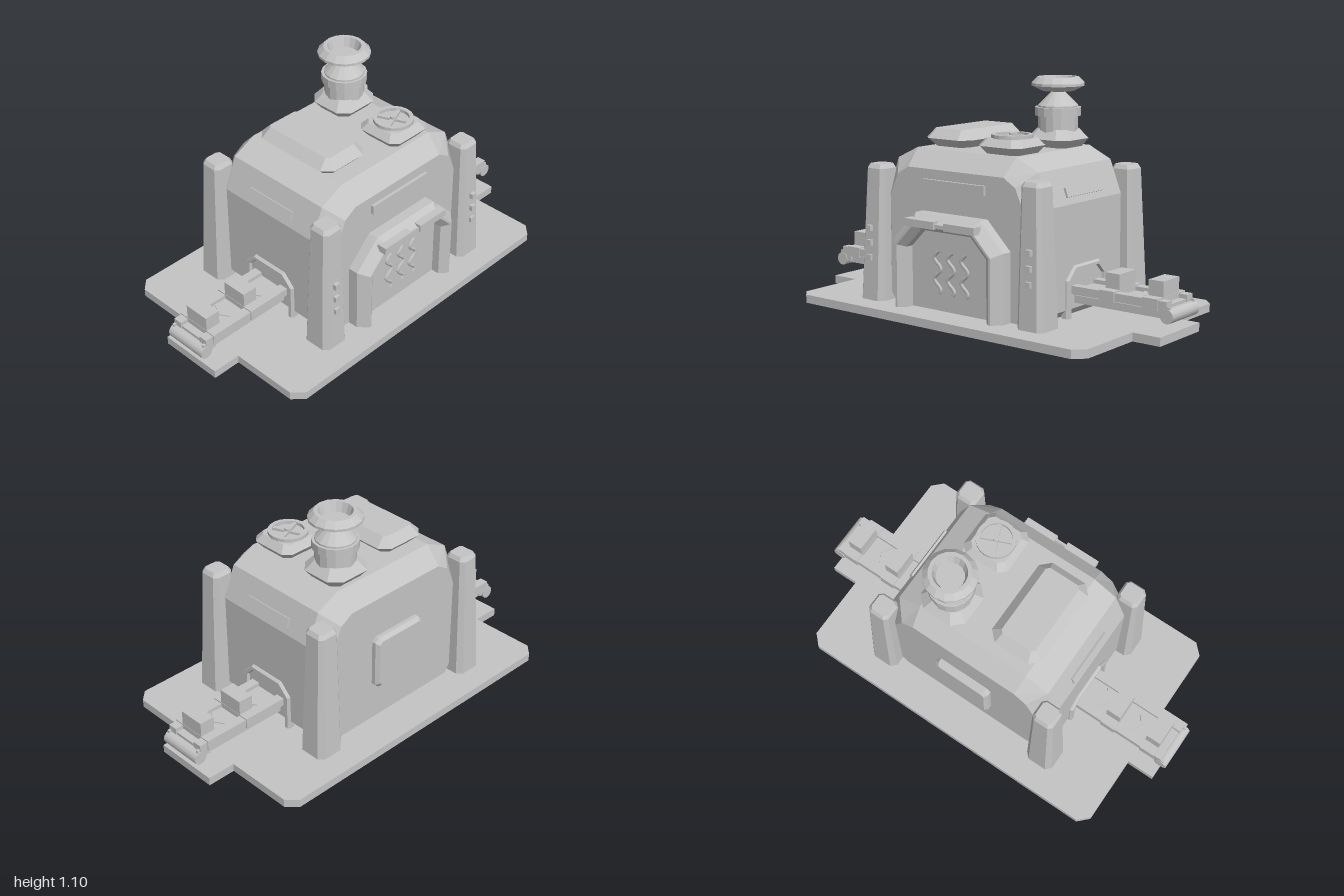
import * as THREE from 'three';

const grey = new THREE.MeshStandardMaterial({ color: 0xc4c4c4 });
grey.name = 'plain grey';

// Flat-shaded skin through 2D sections [points, z]; capped when closed
function loft(sections, closed = true) {
  const pos = [];
  const n = sections[0][0].length;
  const P = (i, j) => [...sections[i][0][j % n], sections[i][1]];
  const tri = (a, b, c) => pos.push(...a, ...b, ...c);
  for (let i = 0; i < sections.length - 1; i++) {
    for (let j = 0; j < (closed ? n : n - 1); j++) {
      tri(P(i, j), P(i, j + 1), P(i + 1, j + 1));
      tri(P(i, j), P(i + 1, j + 1), P(i + 1, j));
    }
  }
  if (closed) {
    const e = sections.length - 1;
    for (let j = 1; j < n - 1; j++) {
      tri(P(0, 0), P(0, j + 1), P(0, j));
      tri(P(e, 0), P(e, j), P(e, j + 1));
    }
  }
  const g = new THREE.BufferGeometry();
  g.setAttribute('position', new THREE.Float32BufferAttribute(pos, 3));
  g.computeVertexNormals();
  return g;
}

// Rectangle with cut corners
const oct = (w, h, c) => [
  [w, -h + c], [w, h - c], [w - c, h], [-w + c, h],
  [-w, h - c], [-w, -h + c], [-w + c, -h], [w - c, -h]];

// Arch with cut shoulders, open at the floor
const arch = (w, h, c) => [
  [w, 0.05], [w, h - c], [w - c, h], [-w + c, h], [-w, h - c], [-w, 0.05]];

const upright = (sections) => loft(sections).rotateX(-Math.PI / 2);

function add(parent, name, geo, x = 0, y = 0, z = 0) {
  const m = new THREE.Mesh(geo, grey);
  m.name = name;
  m.position.set(x, y, z);
  parent.add(m);
  return m;
}
const box = (w, h, d) => new THREE.BoxGeometry(w, h, d);

function lathe(points, sides) {
  const g = new THREE.LatheGeometry(points.map(p => new THREE.Vector2(...p)), sides).toNonIndexed();
  g.computeVertexNormals();
  return g;
}

// Conveyor running out along +x
function conveyor() {
  const g = new THREE.Group();
  g.name = 'conveyor';
  add(g, 'belt', box(0.52, 0.035, 0.17), 0.71, 0.13);
  add(g, 'belt deck', box(0.5, 0.02, 0.2), 0.71, 0.165);
  for (const s of [-1, 1]) add(g, 'rail', box(0.5, 0.038, 0.045), 0.715, 0.175, s * 0.085);
  add(g, 'end roller', new THREE.CylinderGeometry(0.033, 0.033, 0.22, 12).rotateX(Math.PI / 2), 0.967, 0.13);
  for (const s of [-1, 1]) add(g, 'roller bracket', box(0.07, 0.045, 0.012), 0.945, 0.15, s * 0.1);
  for (const x of [0.66, 0.885]) {
    add(g, 'cargo block', box(0.075, 0.09, 0.13), x, 0.225);
    add(g, 'cargo shoulder', box(0.078, 0.05, 0.225), x, 0.175);
  }
  // Arrow marks on the deck
  for (const x of [0.55, 0.745]) {
    const s = new THREE.Shape([[0, 0.06], [0.018, 0.06], [0.055, 0], [0.018, -0.06], [0, -0.06], [0.037, 0]]
      .map(p => new THREE.Vector2(...p)));
    const a = new THREE.ExtrudeGeometry(s, { depth: 0.006, bevelEnabled: false });
    add(g, 'arrow mark', a.rotateX(-Math.PI / 2), x, 0.175, 0);
  }
  // Arched port in the wall
  const port = loft([
    [arch(0.155, 0.285, 0.06), 0.45], [arch(0.155, 0.285, 0.06), 0.475],
    [arch(0.147, 0.277, 0.055), 0.485], [arch(0.13, 0.265, 0.045), 0.485],
    [arch(0.125, 0.26, 0.045), 0.46]], false).rotateY(Math.PI / 2);
  add(g, 'port frame', port);
  return g;
}

export function createModel() {
  const root = new THREE.Group();
  root.name = 'factory';

  // Base plate with side tabs
  const half = [[0.97, -0.16], [0.97, 0.165], [0.83, 0.165], [0.83, 0.5], [0.78, 0.55]];
  const lower = [[0.78, -0.545], [0.83, -0.495], [0.83, -0.16]];
  const right = [...lower, ...half];
  const outline = [...right, ...right.map(([x, y]) => [-x, y]).reverse()];
  const plate = new THREE.ExtrudeGeometry(new THREE.Shape(outline.map(p => new THREE.Vector2(...p))),
    { depth: 0.04, bevelEnabled: false });
  add(root, 'base plate', plate.rotateX(-Math.PI / 2), 0, 0.01);
  add(root, 'front foot strip', box(0.47, 0.012, 0.04), 0, 0.006, 0.38);
  for (const s of [-1, 1]) add(root, 'side foot strip', box(0.04, 0.012, 0.24), s * 0.4, 0.006);

  // Main body, bevelled all round
  const mirror = (p) => [...p, ...p.map(([x, y]) => [-x, y]).reverse()];
  const outer = mirror([[0.43, 0.05], [0.47, 0.088], [0.47, 0.565], [0.41, 0.72], [0.29, 0.777]]);
  const inner = mirror([[0.36, 0.05], [0.39, 0.088], [0.39, 0.555], [0.345, 0.655], [0.28, 0.695]]);
  add(root, 'body', loft([[inner, -0.36], [outer, -0.28], [outer, 0.28], [inner, 0.36]]));

  // Corner pillars
  for (const sx of [-1, 1]) for (const sz of [-1, 1]) {
    const shaft = upright([[oct(0.073, 0.075, 0.025), 0.05], [oct(0.055, 0.055, 0.018), 0.675],
      [oct(0.043, 0.043, 0.012), 0.695]]);
    // Lean the tops slightly towards the body
    const p = shaft.attributes.position;
    for (let i = 0; i < p.count; i++) {
      const t = (p.getY(i) - 0.05) / 0.645;
      p.setX(i, p.getX(i) - sx * 0.012 * t);
      p.setZ(i, p.getZ(i) - sz * 0.006 * t);
    }
    shaft.computeVertexNormals();
    add(root, 'corner pillar', shaft, sx * 0.467, 0, sz * 0.355);
    if (sz > 0) {
      for (const y of [0.255, 0.325, 0.395]) add(root, 'pillar light', box(0.027, 0.027, 0.03), sx * 0.468, y, 0.42);
    }
  }

  // Front doorway
  add(root, 'door frame', loft([
    [arch(0.32, 0.5, 0.13), 0.34], [arch(0.32, 0.5, 0.13), 0.41],
    [arch(0.28, 0.465, 0.115), 0.455], [arch(0.27, 0.455, 0.11), 0.455],
    [arch(0.235, 0.425, 0.09), 0.425], [arch(0.235, 0.425, 0.09), 0.37]], false));
  add(root, 'door panel', loft([[arch(0.24, 0.43, 0.09), 0.34], [arch(0.24, 0.43, 0.09), 0.385]]));
  for (const s of [-1, 1]) add(root, 'door clip', box(0.175, 0.035, 0.05), s * 0.117, 0.462, 0.45);
  add(root, 'door clip bridge', box(0.07, 0.018, 0.04), 0, 0.457, 0.445);

  // Heat waves on the door
  for (const x of [-0.08, 0, 0.08]) {
    const pts = [];
    for (let i = 0; i <= 12; i++) {
      pts.push(new THREE.Vector3(x + 0.02 * Math.sin(i / 12 * Math.PI * 4 + 2.6), 0.33 - i / 12 * 0.2, 0.386));
    }
    add(root, 'heat wave', new THREE.TubeGeometry(new THREE.CatmullRomCurve3(pts), 32, 0.009, 6));
  }

  // Wall slots and rear panel
  add(root, 'front slot', box(0.36, 0.045, 0.03), 0, 0.627, 0.36);
  for (const s of [-1, 1]) {
    add(root, 'side slot', box(0.025, 0.044, 0.275), s * 0.449, 0.615).rotation.z = s * 0.37;
  }
  add(root, 'rear panel', loft([[oct(0.135, 0.12, 0.015), -0.398], [oct(0.15, 0.135, 0.02), -0.38],
    [oct(0.15, 0.135, 0.02), -0.35]]), 0, 0.365, 0);

  // Roof hatches
  add(root, 'long roof hatch', upright([[oct(0.09, 0.19, 0.03), 0.77], [oct(0.135, 0.232, 0.045), 0.815],
    [oct(0.09, 0.19, 0.015), 0.86]]), -0.183, 0, -0.007);
  add(root, 'fan hatch', upright([[oct(0.09, 0.09, 0.025), 0.77], [oct(0.122, 0.122, 0.035), 0.812],
    [oct(0.093, 0.093, 0.025), 0.846]]), 0.175, 0, 0.163);
  add(root, 'chimney base', upright([[oct(0.09, 0.085, 0.03), 0.77], [oct(0.124, 0.122, 0.05), 0.815],
    [oct(0.085, 0.085, 0.035), 0.86]]), 0.19, 0, -0.167);

  // Fan
  const fan = new THREE.Group();
  fan.name = 'fan';
  fan.position.set(0.175, 0, 0.163);
  add(fan, 'fan rim', lathe([[0.075, 0.845], [0.095, 0.845], [0.095, 0.862], [0.075, 0.862], [0.075, 0.845]], 20));
  for (const a of [0, Math.PI / 2]) add(fan, 'fan blade', box(0.155, 0.012, 0.02), 0, 0.852).rotation.y = a + 0.4;
  add(fan, 'fan hub', new THREE.CylinderGeometry(0.016, 0.016, 0.022, 10), 0, 0.857);
  root.add(fan);

  // Chimney with collar and dished cap
  add(root, 'chimney', lathe([[0.095, 0.84], [0.095, 0.92], [0.108, 0.92], [0.108, 0.96], [0.095, 0.96],
    [0.095, 0.968], [0.028, 1.035], [0.028, 1.045]], 16), 0.19, 0, -0.165);
  add(root, 'chimney cap', lathe([[0, 1.035], [0.075, 1.035], [0.125, 1.06], [0.125, 1.072], [0.098, 1.1],
    [0.08, 1.1], [0.065, 1.055], [0, 1.055]], 16), 0.19, 0, -0.165);

  // Conveyors on both sides
  const left = conveyor();
  const other = conveyor();
  other.rotation.y = Math.PI;
  root.add(left, other);
  return root;
}
